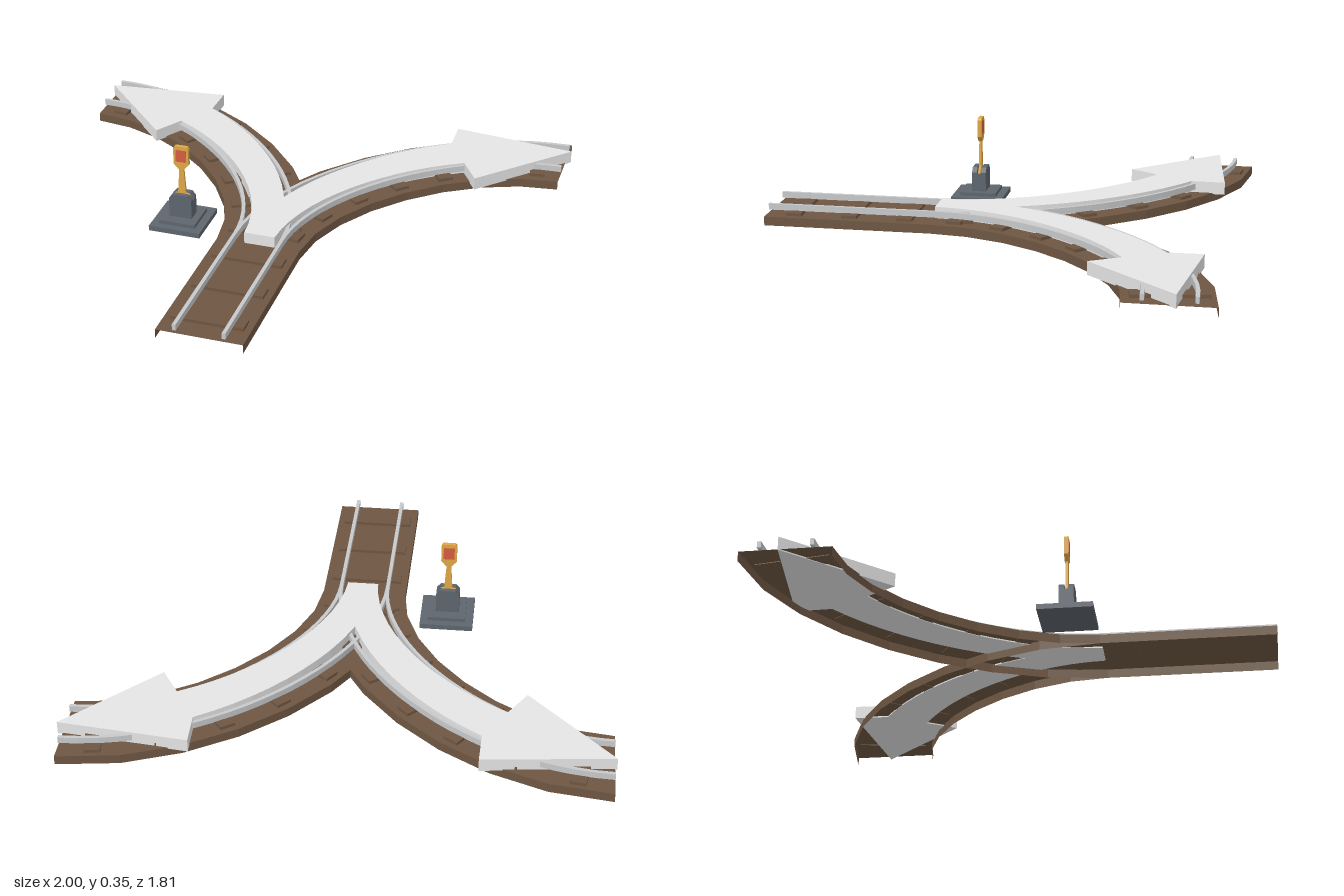
import * as THREE from 'three';

const mat = (name, color, side = THREE.FrontSide) => {
  const m = new THREE.MeshStandardMaterial({ color, side });
  m.name = name;
  return m;
};

const CX = -0.006; // track centre line
const Z0 = 0.25;   // where the branches start

// Centre line of a branch: x outward, y backward, turning a right angle
const branch = new THREE.CubicBezierCurve(
  new THREE.Vector2(0, 0), new THREE.Vector2(0, 0.475),
  new THREE.Vector2(0.511, 0.991), new THREE.Vector2(0.985, 0.991),
);

// Station on a branch; side is -1 or +1, u runs 0..1 along its length
function branchStation(side, u, cx = CX) {
  const p = branch.getPointAt(u), t = branch.getTangentAt(u);
  return { x: cx + side * p.x, z: Z0 - p.y, nx: -side * t.y, nz: -t.x };
}

// Sweep a profile of [offset, height] points along stations {x, z, nx, nz}
function sweep(stations, profile, closed) {
  const pos = [];
  const at = (s, [o, y]) => [s.x + s.nx * o, y, s.z + s.nz * o];
  const quad = (a, b, c, d) => pos.push(...a, ...b, ...c, ...a, ...c, ...d);
  const n = profile.length;
  for (let i = 0; i < stations.length - 1; i++) {
    for (let j = 0; j < (closed ? n : n - 1); j++) {
      const p = profile[j], q = profile[(j + 1) % n];
      quad(at(stations[i], p), at(stations[i], q), at(stations[i + 1], q), at(stations[i + 1], p));
    }
  }
  if (closed) {
    for (const s of [stations[0], stations[stations.length - 1]]) quad(...profile.map((p) => at(s, p)));
  }
  const g = new THREE.BufferGeometry();
  g.setAttribute('position', new THREE.Float32BufferAttribute(pos, 3));
  g.computeVertexNormals();
  return g;
}

function extrudeXY(points, depth) {
  const shape = new THREE.Shape(points.map(([x, y]) => new THREE.Vector2(x, y)));
  return new THREE.ExtrudeGeometry(shape, { depth, bevelEnabled: false });
}

export function createModel() {
  const model = new THREE.Group();
  model.name = 'forkedTrack';
  // The top face and open underside of the bed both show
  const wood = mat('brown', 0x6e5642, THREE.DoubleSide);
  const steel = mat('railGrey', 0xc6c8ca, THREE.DoubleSide);
  const arrowMat = mat('paleGrey', 0xe4e4e4);
  const iron = mat('slateGrey', 0x5e656e);
  const yellow = mat('yellow', 0xdfa845);
  const red = mat('red', 0xd65c40);

  const add = (parent, name, geo, material, x = 0, y = 0, z = 0) => {
    const m = new THREE.Mesh(geo, material);
    m.name = name;
    m.position.set(x, y, z);
    parent.add(m);
    return m;
  };

  // Track sections: hollow bed, two rails and cross ties
  const bedProfile = [[-0.163, 0], [-0.163, 0.035], [0.163, 0.035], [0.163, 0]];
  const railProfile = (o) => [[o - 0.007, 0.046], [o - 0.007, 0.07], [o + 0.007, 0.07], [o + 0.007, 0.046]];
  const tieGeo = new THREE.BoxGeometry(0.275, 0.015, 0.06);
  const addTrack = (name, bedStations, railStations, ties) => {
    const g = new THREE.Group();
    g.name = name;
    add(g, 'bed', sweep(bedStations, bedProfile, false), wood);
    for (const o of [-0.092, 0.092]) add(g, 'rail', sweep(railStations, railProfile(o), true), steel);
    for (const t of ties) {
      const tie = add(g, 'tie', tieGeo, wood, t.x, 0.0395, t.z);
      tie.rotation.y = Math.atan2(-t.nz, t.nx);
    }
    model.add(g);
  };

  const straight = (z) => ({ x: CX, z, nx: 1, nz: 0 });
  const stem = [straight(0.904), straight(Z0)];
  addTrack('straightTrack', stem, stem, [0.793, 0.575, 0.357].map(straight));

  for (const side of [-1, 1]) {
    const along = (n) => Array.from({ length: n + 1 }, (_, i) => branchStation(side, i / n));
    const ties = Array.from({ length: 7 }, (_, i) => branchStation(side, (i + 0.5) / 7));
    addTrack(side < 0 ? 'rightBranch' : 'leftBranch', along(8), along(24), ties);

    // Curved arrow: tapered shaft and triangular head in one outline
    const inner = [], outer = [];
    const steps = 14, end = 0.705;
    for (let i = 0; i <= steps; i++) {
      const t = i / steps, s = branchStation(side, t * end, 0);
      const half = 0.056 + 0.029 * t;
      const point = (o) => [s.x + s.nx * o, -(s.z + s.nz * o)];
      inner.push(point(-half - 0.004));
      outer.push(point(half - 0.004));
    }
    const head = [[side * 0.515, 0.82], [side * 0.998, 0.765], [side * 0.673, 0.425]];
    const arrow = extrudeXY([...outer, ...head, ...inner.reverse()], 0.05);
    arrow.rotateX(-Math.PI / 2);
    add(model, side < 0 ? 'rightArrow' : 'leftArrow', arrow, arrowMat, 0, 0.03, 0);
  }

  // Switch stand beside the fork
  const stand = new THREE.Group();
  stand.name = 'switchStand';
  stand.position.set(-0.343, 0, 0.148);
  model.add(stand);
  add(stand, 'standBase', new THREE.BoxGeometry(0.205, 0.02, 0.205), iron, 0, 0.031, 0);
  add(stand, 'standStep', new THREE.BoxGeometry(0.145, 0.015, 0.145), iron, 0, 0.0475, 0);
  add(stand, 'standColumn', new THREE.BoxGeometry(0.09, 0.07, 0.056), iron, 0, 0.09, 0);
  // Two chamfered cheeks leave a slot for the lever
  const cheek = [[-0.045, 0.125], [0.045, 0.125], [0.045, 0.132], [0.03, 0.15], [-0.03, 0.15], [-0.045, 0.132]];
  for (const z of [-0.028, 0.008]) add(stand, 'columnCheek', extrudeXY(cheek, 0.02), iron, 0, 0, z);

  // Lever with a paddle and a red panel on both faces
  const lever = [[-0.035, 0.125], [0.035, 0.125], [0.03, 0.145], [0.016, 0.15], [0.009, 0.25],
    [0.012, 0.265], [-0.012, 0.265], [-0.009, 0.25], [-0.016, 0.15], [-0.03, 0.145]];
  add(stand, 'lever', extrudeXY(lever, 0.01), yellow, 0, 0, -0.005);
  const paddle = [[-0.012, 0.255], [0.012, 0.255], [0.03, 0.275], [0.03, 0.342], [0.024, 0.35],
    [-0.024, 0.35], [-0.03, 0.342], [-0.03, 0.275]];
  add(stand, 'paddle', extrudeXY(paddle, 0.016), yellow, 0, 0, -0.008);
  for (const s of [-1, 1]) add(stand, 'paddlePanel', new THREE.BoxGeometry(0.042, 0.05, 0.001), red, 0, 0.31, s * 0.0083);

  return model;
}
